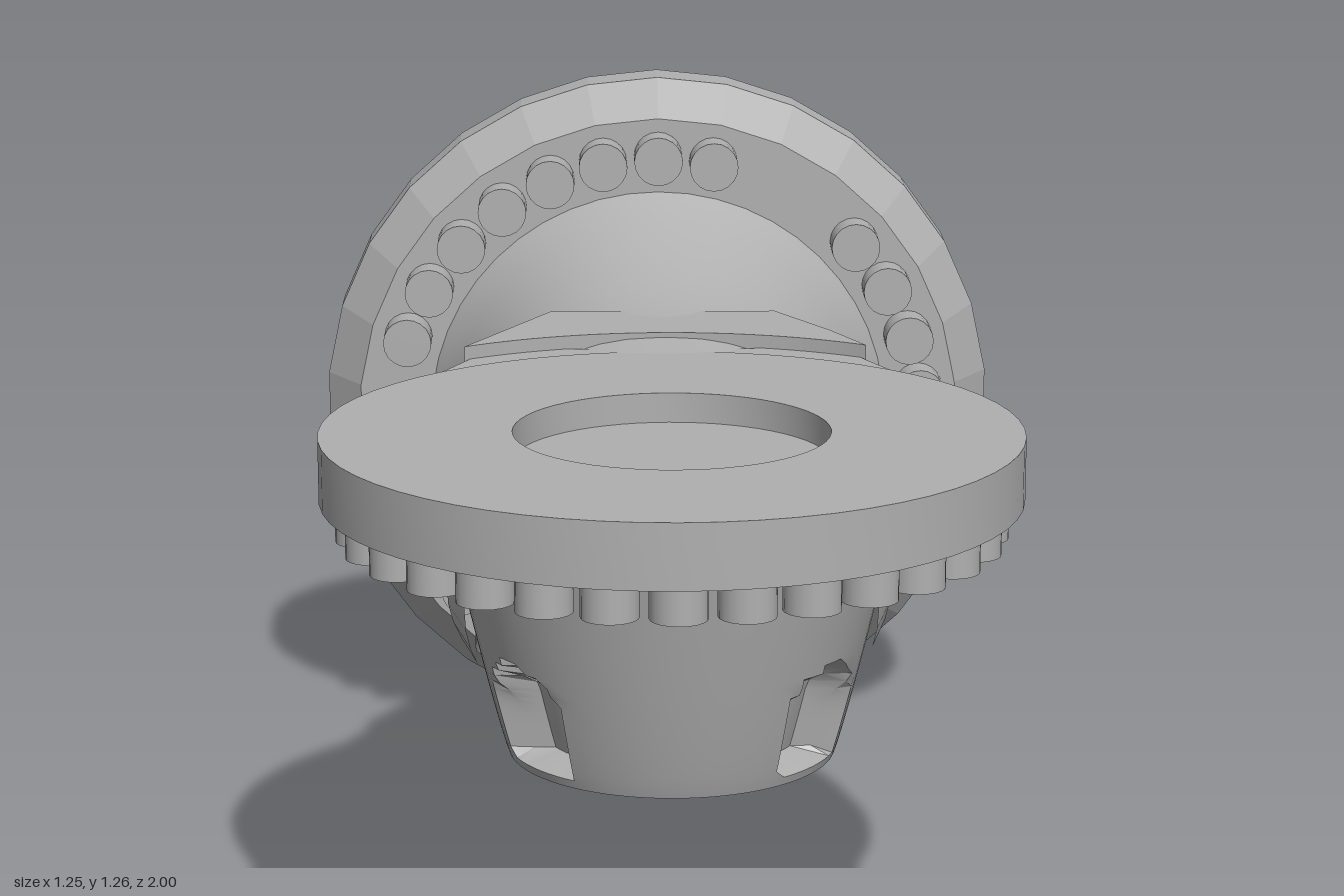
import * as THREE from 'three';
import { toCreasedNormals } from 'three/addons/utils/BufferGeometryUtils.js';
import { RoundedBoxGeometry } from 'three/addons/geometries/RoundedBoxGeometry.js';

const TOP_Z = 0.435;   // axis of the horizontal plate
const BACK_Y = 0.633;  // axis of the rear flange

export function createModel() {
  const model = new THREE.Group();
  model.name = 'elbowJoint';
  const metal = new THREE.MeshStandardMaterial({ color: 0xb0b0b0 });
  metal.name = 'grey metal';

  const add = (name, geo, x = 0, y = 0, z = 0, parent = model) => {
    const mesh = new THREE.Mesh(geo, metal);
    mesh.name = name;
    mesh.position.set(x, y, z);
    parent.add(mesh);
    return mesh;
  };
  const lathe = (pts, seg, crease = 0.5) => toCreasedNormals(
    new THREE.LatheGeometry(pts.map(p => new THREE.Vector2(...p)), seg), crease);

  // Rear flange with bevelled rim, and its round boss
  add('rearFlange', lathe([[0, -0.945], [0.63, -0.945], [0.63, -0.85], [0.565, -0.77], [0, -0.77]], 30, 0.15)
    .rotateX(Math.PI / 2), 0, BACK_Y, 0);
  add('rearBoss', lathe([[0, -1], [0.255, -1], [0.255, -0.94], [0, -0.94]], 48)
    .rotateX(Math.PI / 2), 0, BACK_Y, 0);

  // Horizontal plate with a round recess
  add('topPlate', lathe([[0, 0.795], [0.565, 0.795], [0.565, 0.9], [0.255, 0.9], [0.255, 0.85], [0, 0.85]], 60),
    0, 0, TOP_Z);

  // Rear bolts: three groups of eight
  const rearBolts = new THREE.Group();
  rearBolts.name = 'rearBolts';
  const rearBolt = new THREE.CylinderGeometry(0.045, 0.045, 0.075, 20).rotateX(Math.PI / 2);
  for (const start of [48, 168, 288]) {
    for (let i = 0; i < 8; i++) {
      const a = THREE.MathUtils.degToRad(start + i * 12);
      add('rearBolt', rearBolt, 0.495 * Math.sin(a), BACK_Y + 0.495 * Math.cos(a), -0.7425, rearBolts);
    }
  }
  model.add(rearBolts);

  // Bolts under the plate, leaving out the side that joins the neck
  const plateBolts = new THREE.Group();
  plateBolts.name = 'plateBolts';
  const plateBolt = new THREE.CylinderGeometry(0.045, 0.045, 0.07, 20);
  for (let i = -10; i <= 10; i++) {
    const a = THREE.MathUtils.degToRad(i * 12);
    add('plateBolt', plateBolt, 0.495 * Math.sin(a), 0.768, TOP_Z + 0.495 * Math.cos(a), plateBolts);
  }
  model.add(plateBolts);

  // Tapered cup under the plate with a scooped pocket on each front corner
  const cupProfile = [[0, 0.37]];
  for (let i = 0; i <= 30; i++) cupProfile.push([0.265 + 0.105 * Math.pow(i / 30, 0.9), 0.37 + 0.43 * i / 30]);
  const cup = new THREE.LatheGeometry(cupProfile.map(p => new THREE.Vector2(...p)), 90);
  const pos = cup.attributes.position;
  for (let i = 0; i < pos.count; i++) {
    const x = pos.getX(i), y = pos.getY(i), z = pos.getZ(i);
    const r = Math.hypot(x, z);
    const off = Math.abs(Math.abs(Math.atan2(x, z)) - 0.93);
    const limit = 0.3 * Math.sqrt(Math.max(0, 1 - Math.pow((y - 0.41) / 0.15, 4)));
    if (r > 0.1 && y > 0.385 && y < 0.56 && off < limit) {
      const k = 1 - 0.065 * Math.min(1, (limit - off) / 0.08) / r;
      pos.setX(i, x * k);
      pos.setZ(i, z * k);
    }
  }
  add('cup', toCreasedNormals(cup, 0.5), 0, 0, TOP_Z);

  // Neck: superellipse sections [z, half width, bottom, top, exponent]
  const sections = [
    [-0.78, 0.435, 0.2, 1.065, 2], [-0.75, 0.418, 0.217, 1.05, 2], [-0.7, 0.388, 0.245, 1.022, 2],
    [-0.6, 0.362, 0.285, 0.982, 2], [-0.5, 0.34, 0.318, 0.952, 2.05], [-0.4, 0.325, 0.342, 0.93, 2.15],
    [-0.3, 0.317, 0.358, 0.92, 2.3], [-0.2, 0.317, 0.367, 0.915, 2.5], [-0.1, 0.334, 0.37, 0.898, 2.7],
    [0, 0.37, 0.372, 0.895, 2.6], [0.1, 0.378, 0.375, 0.84, 2.5], [0.25, 0.37, 0.378, 0.82, 2.4],
    [0.435, 0.335, 0.385, 0.82, 2.3],
  ];
  const N = 48, verts = [], faces = [];
  sections.forEach(([z, w, lo, hi, n], i) => {
    for (let j = 0; j < N; j++) {
      const a = j / N * Math.PI * 2, c = Math.cos(a), s = Math.sin(a);
      verts.push(w * Math.sign(c) * Math.pow(Math.abs(c), 2 / n),
        (lo + hi) / 2 + (hi - lo) / 2 * Math.sign(s) * Math.pow(Math.abs(s), 2 / n), z);
      if (i < sections.length - 1) {
        const p = i * N + j, q = i * N + (j + 1) % N;
        faces.push(p, q, p + N, q, q + N, p + N);
      }
    }
  });
  const neck = new THREE.BufferGeometry();
  neck.setAttribute('position', new THREE.Float32BufferAttribute(verts, 3));
  neck.setIndex(faces);
  neck.computeVertexNormals();
  add('neck', neck);

  // Slab seen from above as (x, z), extruded downwards
  const slab = (shape, depth) => new THREE.ExtrudeGeometry(shape, { depth, bevelEnabled: false, curveSegments: 24 })
    .rotateX(Math.PI / 2);

  // Web that blends the neck into the plate
  const web = new THREE.Shape([[-0.385, 0.02], [-0.334, -0.09], [-0.29, -0.16], [0.29, -0.16], [0.334, -0.09],
    [0.385, 0.02], [0.3, 0.15], [-0.3, 0.15]].map(p => new THREE.Vector2(...p)));
  add('plateWeb', slab(web, 0.13), 0, 0.898, 0);

  // Raised crest with a curved step around the plate
  const crest = new THREE.Shape();
  crest.moveTo(-0.2, -0.36);
  crest.lineTo(0.2, -0.36);
  crest.lineTo(0.29, -0.2);
  crest.lineTo(0.345, -0.08);
  const arc = Math.asin(0.345 / 0.62);
  crest.absarc(0, TOP_Z, 0.62, -Math.PI / 2 + arc, -Math.PI / 2 - arc, true);
  crest.closePath();
  add('crest', slab(crest, 0.06), 0, 0.921, 0);

  // Side lugs, pins and access bumps, mirrored
  for (const s of [-1, 1]) {
    add('sideLug', new RoundedBoxGeometry(0.1, 0.075, 0.28, 3, 0.03), s * 0.255, 0.432, 0);
    add('sidePin', new THREE.CylinderGeometry(0.045, 0.045, 0.07, 20), s * 0.285, 0.435, -0.01);
    const bump = add('neckBump', new THREE.SphereGeometry(1, 20, 14), s * 0.25, 0.44, -0.48);
    bump.scale.set(0.045, 0.07, 0.085);
  }

  // Drain plug and small cover plate underneath
  add('drainPlug', lathe([[0, 0.345], [0.045, 0.345], [0.05, 0.335], [0.072, 0.335], [0.075, 0.4]], 28), 0, 0, 0.055);
  const cover = add('bottomCover', new THREE.BoxGeometry(0.1, 0.02, 0.24), 0.135, 0.366, -0.17);
  cover.rotation.set(-0.06, 0, 0.1);

  return model;
}
